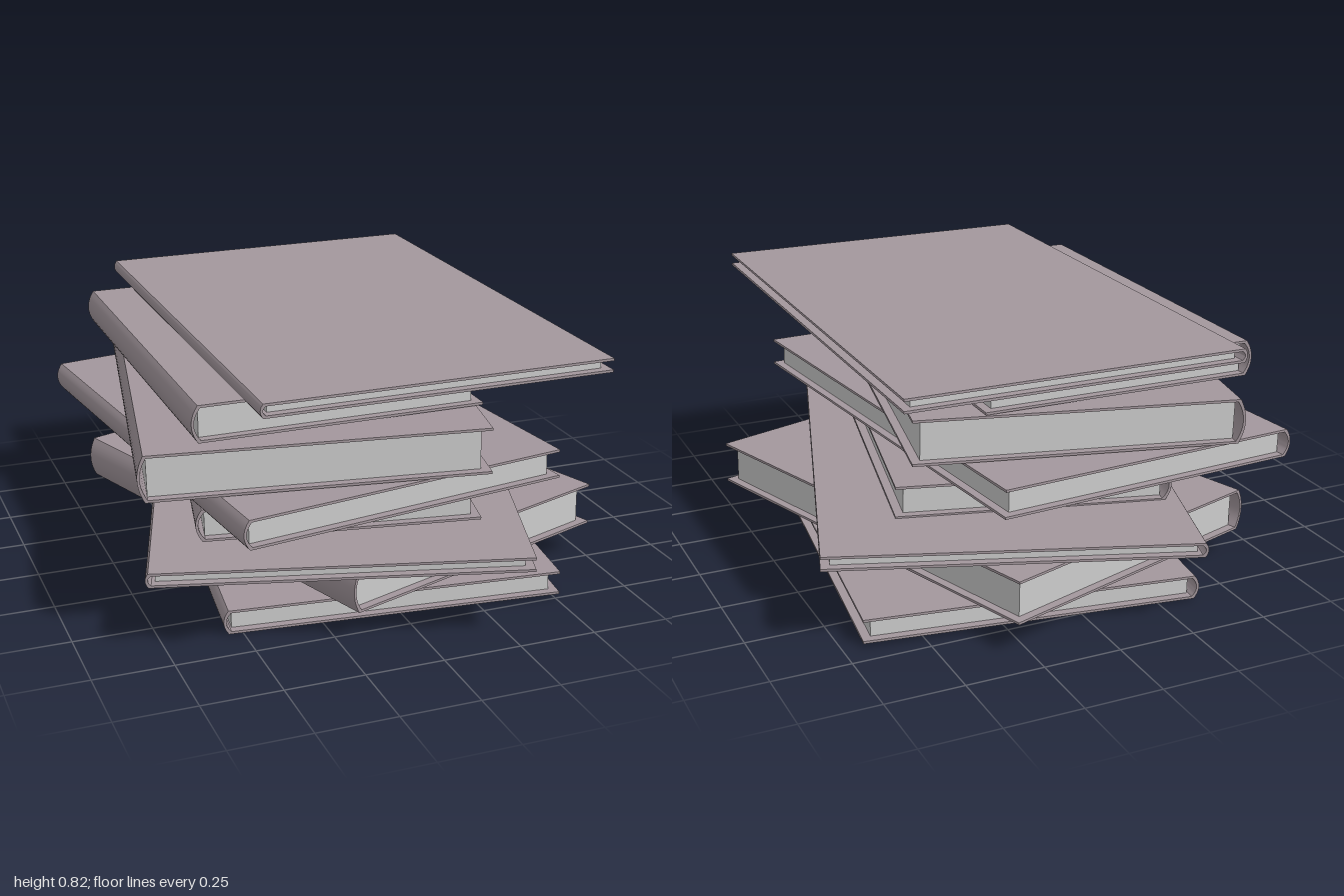
import * as THREE from 'three';
import { toCreasedNormals } from 'three/addons/utils/BufferGeometryUtils.js';

const BOARD = 0.008; // cover board thickness
const INSET = 0.028; // cover overhang beyond the pages

const coverMaterial = new THREE.MeshStandardMaterial({ color: 0xa3979d });
const pageMaterial = new THREE.MeshStandardMaterial({ color: 0xcccccc });

// Two boards joined by a rounded spine on -x, extruded along the book's length
function coverGeometry(width, height, length) {
  const right = width / 2;
  const left = -width / 2;
  const bulge = Math.min(0.02, height * 0.2);
  const s = new THREE.Shape();
  s.moveTo(right, 0);
  s.lineTo(right, BOARD);
  s.lineTo(left + bulge + BOARD, BOARD);
  s.quadraticCurveTo(left - bulge + BOARD, height / 2, left + bulge + BOARD, height - BOARD);
  s.lineTo(right, height - BOARD);
  s.lineTo(right, height);
  s.lineTo(left + bulge, height);
  s.quadraticCurveTo(left - bulge, height / 2, left + bulge, 0);
  s.closePath();
  const geometry = new THREE.ExtrudeGeometry(s, { depth: length, bevelEnabled: false, curveSegments: 10 });
  geometry.translate(0, 0, -length / 2);
  return toCreasedNormals(geometry, 0.5);
}

function makeBook({ width, length, height, x, y, z, yaw, lean = 0, pitch = 0 }) {
  const book = new THREE.Group();
  book.name = 'book';

  const cover = new THREE.Mesh(coverGeometry(width, height, length), coverMaterial);
  cover.name = 'cover';

  // Page block fills the gap between the boards
  const start = -width / 2 + 0.028;
  const end = width / 2 - INSET;
  const pages = new THREE.Mesh(
    new THREE.BoxGeometry(end - start, height - 2 * BOARD, length - 2 * INSET),
    pageMaterial
  );
  pages.name = 'pages';
  pages.position.set((start + end) / 2, height / 2, 0);

  book.add(cover, pages);
  book.rotation.set(pitch, THREE.MathUtils.degToRad(yaw), lean, 'ZXY');
  book.position.set(x, y, z);
  return book;
}

export function createModel() {
  const stack = new THREE.Group();
  stack.name = 'bookStack';

  // Bottom to top
  const books = [
    { width: 1.08, length: 1.44, height: 0.078, x: 0.065, y: 0.008, z: -0.03, yaw: -7, lean: 0.012 },
    { width: 1.03, length: 1.46, height: 0.14, x: 0.04, y: 0.098, z: -0.05, yaw: 19, lean: 0.012 },
    { width: 1.15, length: 1.73, height: 0.046, x: 0, y: 0.24, z: 0, yaw: -17.3, lean: 0.023, pitch: 0.01 },
    { width: 0.88, length: 1.21, height: 0.105, x: -0.055, y: 0.288, z: 0.025, yaw: -12, lean: 0.022 },
    { width: 1.07, length: 1.6, height: 0.093, x: -0.135, y: 0.4, z: 0.02, yaw: 6.8, lean: 0.024 },
    { width: 1.045, length: 1.46, height: 0.145, x: -0.165, y: 0.497, z: 0.035, yaw: -10.9, lean: 0.021 },
    { width: 0.92, length: 1.285, height: 0.115, x: -0.195, y: 0.65, z: 0.02, yaw: 0, lean: 0.006 },
    { width: 1.11, length: 1.665, height: 0.044, x: 0.045, y: 0.772, z: 0.017, yaw: 0, lean: 0.006 },
  ];
  for (const spec of books) stack.add(makeBook(spec));
  return stack;
}
